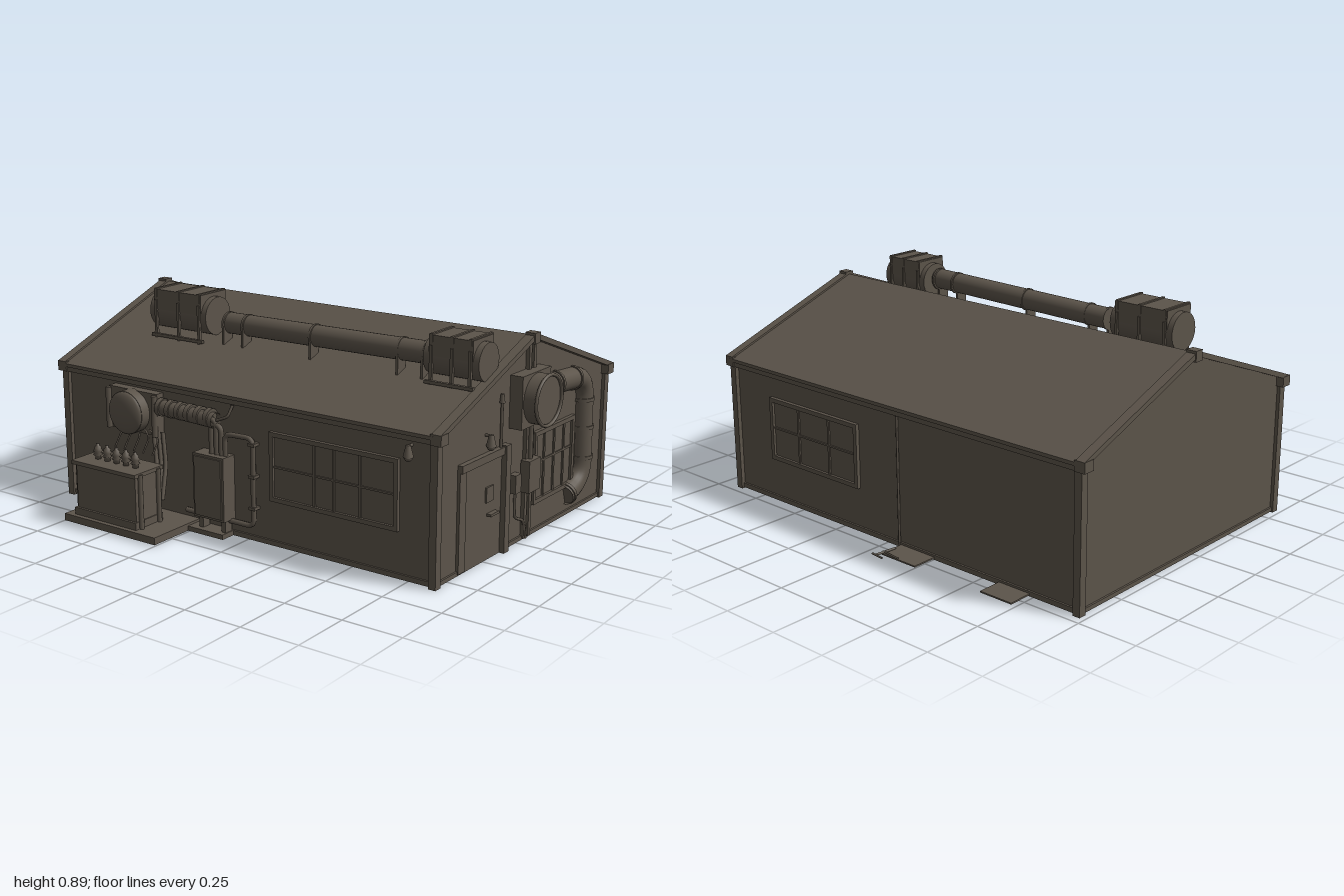
import * as THREE from 'three';

export function createModel() {
  const model = new THREE.Group();
  model.name = 'utilityBuilding';
  const mat = new THREE.MeshStandardMaterial({ color: 0x5c544a, side: THREE.DoubleSide });
  mat.name = 'weatheredBrown';
  const V = (p) => new THREE.Vector3(...p);

  const add = (parent, name, geo) => {
    const m = new THREE.Mesh(geo, mat);
    m.name = name;
    parent.add(m);
    return m;
  };
  // Box given by its ranges
  const box = (g, name, x0, x1, y0, y1, z0, z1) => {
    const m = add(g, name, new THREE.BoxGeometry(x1 - x0, y1 - y0, z1 - z0));
    m.position.set((x0 + x1) / 2, (y0 + y1) / 2, (z0 + z1) / 2);
    return m;
  };
  // Cylinder between two points
  const rod = (g, name, a, b, r, r2 = r, n = 20) => {
    const p = V(a), q = V(b), d = q.clone().sub(p);
    const m = add(g, name, new THREE.CylinderGeometry(r2, r, d.length(), n));
    m.position.copy(p).add(q).multiplyScalar(0.5);
    m.quaternion.setFromUnitVectors(new THREE.Vector3(0, 1, 0), d.normalize());
    return m;
  };
  // Pipe with rounded corners through the given points
  const pipe = (g, name, pts, r, bend = 0.03, n = 8) => {
    const p = pts.map(V), path = new THREE.CurvePath();
    let last = p[0];
    for (let i = 1; i < p.length - 1; i++) {
      const a = p[i].clone().add(p[i - 1].clone().sub(p[i]).setLength(bend));
      const b = p[i].clone().add(p[i + 1].clone().sub(p[i]).setLength(bend));
      path.add(new THREE.LineCurve3(last, a));
      path.add(new THREE.QuadraticBezierCurve3(a, p[i], b));
      last = b;
    }
    path.add(new THREE.LineCurve3(last, p[p.length - 1]));
    return add(g, name, new THREE.TubeGeometry(path, 60, r, n));
  };
  const side = (name, x, z, turn) => {
    const g = new THREE.Group();
    g.name = name;
    g.position.set(x, 0, z);
    g.rotation.y = turn;
    model.add(g);
    return g;
  };
  const poly = (pts) => new THREE.Shape(pts.map((p) => new THREE.Vector2(...p)));

  // Each side has local x along the wall and local z pointing outward
  const front = side('frontSide', 0, 0.58, 0);
  const back = side('backSide', 0, -0.7, Math.PI);
  const right = side('leftEnd', 0.88, 0, Math.PI / 2 - 0.025);
  const left = side('rightEnd', -0.965, 0, -Math.PI / 2);

  // Walls, open underneath
  const wall = (g, x0, x1) => {
    add(g, 'longWall', new THREE.ShapeGeometry(poly([[x0, 0.01], [x1, 0.01], [x1, 0.58], [x0, 0.58]])));
    box(g, 'baseTrim', x0, x1, 0.005, 0.025, -0.005, 0.008);
    box(g, 'eaveTrim', x0, x1, 0.55, 0.575, -0.005, 0.02);
  };
  wall(front, -0.965, 0.865);
  wall(back, -0.898, 0.965);
  // Chevron band following the roof slope; s mirrors it for the other end
  const chevron = (t, s) => poly([[-0.605, 0.57], [0.06, 0.818], [0.725, 0.57],
    [0.725, 0.57 + t], [0.06, 0.818 + t], [-0.605, 0.57 + t]].map(([x, y]) => [x * s, y]));
  [[right, 1], [left, -1]].forEach(([g, s]) => {
    add(g, 'gableWall', new THREE.ShapeGeometry(poly([[-0.58, 0.01], [0.7, 0.01], [0.7, 0.58],
      [0.06, 0.82], [-0.58, 0.58]].map(([x, y]) => [x * s, y]))));
    const trim = add(g, 'gableTrim', new THREE.ExtrudeGeometry(chevron(0.022, s), { depth: 0.04, bevelEnabled: false }));
    trim.position.z = -0.01;
    box(g, 'ridgeCap', 0.06 * s - 0.02, 0.06 * s + 0.02, 0.8, 0.843, -0.01, 0.034);
    box(g, 'gableBaseTrim', s > 0 ? -0.58 : -0.7, s > 0 ? 0.7 : 0.58, 0.005, 0.022, -0.005, 0.008);
    for (const u of [-0.58, 0.7]) {
      box(g, 'cornerPost', u * s - 0.017, u * s + 0.017, 0, 0.57, -0.018, 0.014);
      box(g, 'eaveEnd', u * s - 0.025, u * s + 0.025, 0.55, 0.592, -0.015, 0.032);
    }
  });

  // Roof, its far end slightly skewed
  const roofGeo = new THREE.ExtrudeGeometry(chevron(0.014, 1), { depth: 1, bevelEnabled: false });
  const pos = roofGeo.attributes.position;
  for (let i = 0; i < pos.count; i++) pos.setZ(i, -0.965 + pos.getZ(i) * (1.85 + 0.025 * pos.getX(i)));
  roofGeo.computeVertexNormals();
  add(model, 'roof', roofGeo).rotation.y = Math.PI / 2;

  // Framed windows with glazing bars
  const windowUnit = (g, x0, x1, y0, y1, bars, mid) => {
    const f = 0.018;
    box(g, 'windowPane', x0, x1, y0, y1, 0.001, 0.005);
    box(g, 'windowSill', x0, x1, y0, y0 + f, 0, 0.016);
    box(g, 'windowHead', x0, x1, y1 - f, y1, 0, 0.016);
    for (const x of [x0, x1 - f]) box(g, 'windowJamb', x, x + f, y0, y1, 0, 0.016);
    for (const x of bars) box(g, 'windowBar', x - 0.005, x + 0.005, y0, y1, 0, 0.011);
    box(g, 'windowCrossbar', x0, x1, mid - 0.004, mid + 0.004, 0, 0.01);
  };
  windowUnit(front, 0.12, 0.71, 0.19, 0.47, [0.33, 0.42, 0.54], 0.33);
  windowUnit(back, -0.67, -0.15, 0.19, 0.46, [-0.5, -0.32], 0.33);
  windowUnit(right, 0.105, 0.43, 0.13, 0.43, [0.19, 0.27, 0.35], 0.3);

  // Lamps
  const lamp = (g, x, y) => {
    rod(g, 'lampArm', [x, y + 0.04, 0], [x, y + 0.04, 0.025], 0.006, 0.006, 8);
    rod(g, 'lampShade', [x, y, 0.025], [x, y + 0.045, 0.025], 0.02, 0.009, 12);
    add(g, 'lampBulb', new THREE.SphereGeometry(0.017, 12, 8)).position.set(x, y, 0.025);
  };
  lamp(front, 0.76, 0.49);
  lamp(right, -0.25, 0.465);

  // Front wall fan with ribbed duct
  box(front, 'fanHousing', -0.69, -0.43, 0.36, 0.535, 0, 0.04);
  rod(front, 'fanDrum', [-0.56, 0.448, 0.03], [-0.56, 0.448, 0.085], 0.09, 0.09, 28);
  const dome = add(front, 'fanDome', new THREE.SphereGeometry(0.088, 28, 16));
  dome.position.set(-0.56, 0.448, 0.085);
  dome.scale.z = 0.3;
  for (const x of [-0.685, -0.435]) rod(front, 'fanBracket', [x, 0.36, 0.05], [x, 0.53, 0.05], 0.012, 0.012, 8);
  pipe(front, 'ribbedDuct', [[-0.43, 0.485, 0.03], [-0.13, 0.475, 0.03]], 0.032, 0.03, 16);
  for (let i = 0; i < 6; i++) {
    const x = -0.42 + i * 0.05;
    rod(front, 'ductRib', [x, 0.485, 0.03], [x + 0.02, 0.484, 0.03], 0.037, 0.037, 16);
  }
  for (const [x, y] of [[-0.15, 0.5], [-0.125, 0.48], [-0.1, 0.46]])
    pipe(front, 'downPipe', [[x - 0.05, y, 0.035], [x, y, 0.035], [x, 0.33, 0.035]], 0.011);
  pipe(front, 'thinConduit', [[-0.12, 0.48, 0.04], [-0.07, 0.5, 0.03], [-0.06, 0.545, 0.01]], 0.006, 0.015);

  // Wall cabinet and looped pipe
  box(front, 'wallCabinet', -0.22, -0.065, 0.075, 0.34, 0, 0.07);
  box(front, 'cabinetDoor', -0.21, -0.075, 0.085, 0.33, 0.07, 0.076);
  for (const x of [-0.2, -0.085]) box(front, 'cabinetLeg', x - 0.01, x + 0.01, 0.02, 0.08, 0.01, 0.05);
  pipe(front, 'loopPipe', [[-0.085, 0.34, 0.03], [-0.085, 0.43, 0.03], [0.045, 0.43, 0.02],
    [0.045, 0.07, 0.02], [-0.3, 0.07, 0.02]], 0.011);
  for (const y of [0.14, 0.27, 0.4]) box(front, 'pipeClamp', 0.03, 0.06, y, y + 0.012, 0, 0.035);

  // Transformer on its slab
  box(front, 'slab', -0.74, -0.25, 0.005, 0.035, 0, 0.275);
  box(front, 'cabinetSlab', -0.25, -0.07, 0.005, 0.025, 0, 0.075);
  box(front, 'transformerTank', -0.69, -0.37, 0.06, 0.255, 0.1, 0.245);
  box(front, 'transformerLid', -0.705, -0.36, 0.25, 0.266, 0.09, 0.258);
  box(front, 'transformerBase', -0.7, -0.365, 0.035, 0.065, 0.095, 0.255);
  for (const x of [-0.7, -0.36]) for (const z of [0.12, 0.225])
    rod(front, 'tankPost', [x, 0.035, z], [x, 0.26, z], 0.01, 0.01, 8);
  const insulator = [[0, 0], [0.012, 0], [0.012, 0.015], [0.02, 0.02], [0.012, 0.028], [0.021, 0.036],
    [0.013, 0.044], [0.016, 0.05], [0.007, 0.058], [0.007, 0.066], [0, 0.066]].map((p) => new THREE.Vector2(...p));
  for (let i = 0; i < 5; i++) {
    const x = -0.63 + i * 0.051;
    add(front, 'insulator', new THREE.LatheGeometry(insulator, 14)).position.set(x, 0.264, 0.18);
    pipe(front, 'cable', [[x, 0.29, 0.08], [x + 0.01, 0.35, 0.05], [-0.56 + i * 0.012, 0.4, 0.03]], 0.004, 0.02, 6);
  }
  for (let i = 0; i < 3; i++)
    pipe(front, 'hoseDrop', [[-0.46 + i * 0.025, 0.38, 0.03], [-0.43 + i * 0.025, 0.25, 0.05], [-0.36, 0.12, 0.1]], 0.009);

  // Door on the gable end
  box(right, 'doorPanel', -0.395, -0.14, 0.015, 0.405, 0, 0.008);
  box(right, 'doorJamb', -0.44, -0.395, 0.01, 0.43, 0, 0.012);
  box(right, 'doorJamb', -0.14, -0.105, 0.005, 0.44, 0, 0.03);
  box(right, 'doorHead', -0.44, -0.105, 0.405, 0.435, 0, 0.022);
  box(right, 'doorHatch', -0.255, -0.205, 0.24, 0.3, 0.008, 0.015);
  box(right, 'doorHandle', -0.24, -0.18, 0.183, 0.193, 0.008, 0.028);
  rod(right, 'ventRod', [-0.155, 0.43, 0.012], [-0.155, 0.62, 0.012], 0.006, 0.006, 8);
  rod(right, 'ventCap', [-0.155, 0.61, 0.012], [-0.155, 0.645, 0.012], 0.011, 0.007, 10);

  // Gable mast, fan and switch boxes
  for (const u of [0.042, 0.078]) box(right, 'mastRail', u - 0.009, u + 0.009, 0.01, 0.8, 0, 0.016);
  box(right, 'gableFanBox', -0.08, 0.135, 0.49, 0.7, 0, 0.055);
  rod(right, 'gableFanDuct', [0.028, 0.595, 0.05], [0.028, 0.595, 0.105], 0.1, 0.1, 32);
  const rim = add(right, 'gableFanRim', new THREE.TorusGeometry(0.1, 0.007, 8, 32));
  rim.position.set(0.028, 0.595, 0.11);
  box(right, 'switchBox', 0.012, 0.1, 0.21, 0.34, 0.005, 0.045);
  box(right, 'meterBox', -0.065, -0.022, 0.225, 0.3, 0, 0.03);
  pipe(right, 'conduit', [[-0.043, 0.23, 0.015], [-0.043, 0.12, 0.015], [0.03, 0.09, 0.015], [0.05, 0.01, 0.015]], 0.006, 0.025);
  pipe(right, 'fanConduit', [[0.055, 0.49, 0.022], [0.055, 0.34, 0.022]], 0.01);

  // Bent exhaust duct with collars
  pipe(right, 'exhaustDuct', [[0.17, 0.605, 0.005], [0.5, 0.58, 0.005], [0.515, 0.14, 0.005], [0.375, 0.095, 0.005]], 0.046, 0.09, 18);
  const collars = [[0.17, 0.605, 1, -0.07], [0.25, 0.599, 1, -0.07], [0.4, 0.588, 1, -0.07], [0.503, 0.49, 0, -1],
    [0.508, 0.37, 0, -1], [0.513, 0.24, 0, -1], [0.4, 0.103, -1, -0.32]];
  for (const [u, y, du, dy] of collars)
    rod(right, 'ductCollar', [u, y, 0.005], [u + du * 0.014, y + dy * 0.014, 0.005], 0.051, 0.051, 18);

  // Roof fan units and the duct joining them
  const roofUnit = (x0, x1, y, r) => {
    const g = new THREE.Group();
    g.name = 'roofFan';
    model.add(g);
    rod(g, 'fanBarrel', [x0, y, 0.25], [x1, y, 0.25], r, r, 28);
    box(g, 'fanCasing', x0 + 0.025, x1 - 0.025, y + 0.01, y + r + 0.015, 0.25 - r, 0.25 + r);
    for (const x of [x0 + 0.03, (x0 + x1) / 2, x1 - 0.042]) {
      box(g, 'casingBand', x, x + 0.012, y + 0.06, y + r + 0.02, 0.247 - r, 0.253 + r);
      for (const z of [0.25 - r, 0.25 + r])
        box(g, 'fanLeg', x, x + 0.012, 0.805 - (z + 0.06) * 0.375, y + 0.05, z - 0.006, z + 0.006);
    }
    box(g, 'fanRail', x0 + 0.015, x1 - 0.015, 0.69, 0.703, 0.325, 0.34);
  };
  roofUnit(-0.715, -0.41, 0.795, 0.08);
  roofUnit(0.64, 0.88, 0.785, 0.075);
  rod(model, 'roofDuct', [-0.34, 0.778, 0.262], [0.645, 0.79, 0.27], 0.044, 0.044, 24);
  for (const x of [-0.34, -0.24, 0.1, 0.51, 0.62]) {
    const y = 0.782 + x * 0.012;
    rod(model, 'roofDuctCollar', [x, y, 0.266], [x + 0.01, y, 0.266], 0.048, 0.048, 24);
    box(model, 'roofDuctSupport', x, x + 0.01, 0.69, y, 0.255, 0.31);
  }

  // Back wall pipe and ground plates
  rod(back, 'backPipe', [0.07, 0.01, 0.006], [0.07, 0.55, 0.006], 0.005, 0.005, 8);
  box(back, 'groundPlate', 0.59, 0.74, 0.01, 0.016, 0, 0.11);
  box(back, 'groundPlate', 0.08, 0.26, 0.01, 0.016, 0, 0.115);
  rod(back, 'groundRod', [0.09, 0.018, 0.05], [0.085, 0.022, 0.15], 0.005, 0.005, 8);
  rod(back, 'rodHandle', [0.065, 0.022, 0.148], [0.125, 0.022, 0.155], 0.004, 0.004, 8);
  rod(back, 'groundRod', [0.17, 0.02, 0.115], [0.08, 0.02, 0.105], 0.004, 0.004, 8);

  return model;
}
